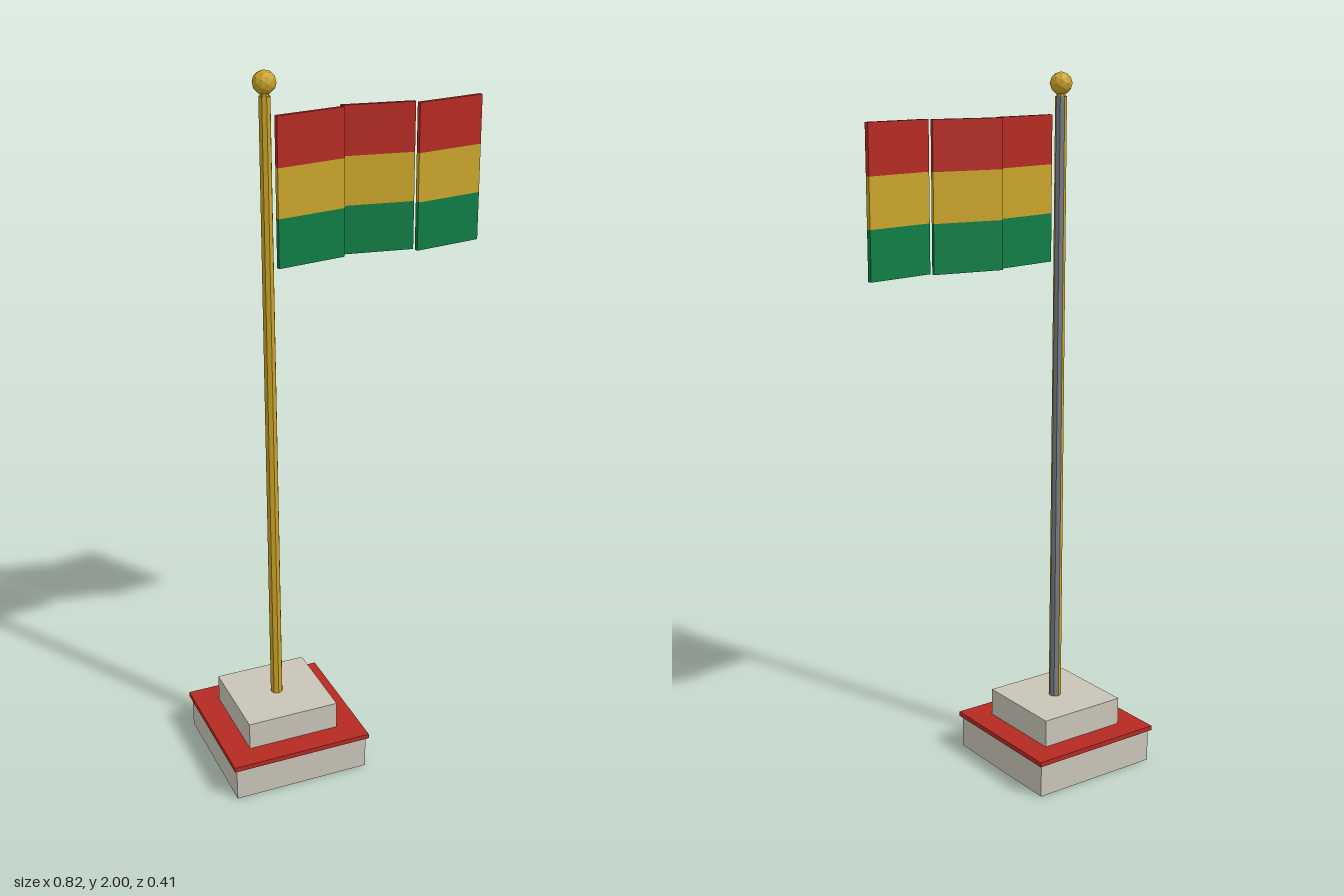
import * as THREE from 'three';

const material = (name, color) => {
  const m = new THREE.MeshStandardMaterial({ color, flatShading: true });
  m.name = name;
  return m;
};

export function createModel() {
  const stone = material('stone', 0xc9c4b7);
  const red = material('red', 0xb52a22);
  const yellow = material('yellow', 0xc9a42a);
  const green = material('green', 0x0f7d45);
  const gold = material('gold', 0xc9a227);
  const steel = material('steel', 0x7a7f87);

  const model = new THREE.Group();
  model.name = 'flagpole';
  const poleX = -0.207;

  const add = (parent, name, geometry, mat, x, y, z = 0) => {
    const mesh = new THREE.Mesh(geometry, mat);
    mesh.name = name;
    mesh.position.set(x, y, z);
    parent.add(mesh);
    return mesh;
  };
  const slab = (name, width, bottom, top, mat) =>
    add(model, name, new THREE.BoxGeometry(width, top - bottom, width), mat, poleX, (bottom + top) / 2);

  // Stepped base with a red trim plate
  slab('lowerPlinth', 0.396, 0, 0.097, stone);
  slab('trimPlate', 0.411, 0.097, 0.111, red);
  slab('upperPlinth', 0.269, 0.111, 0.192, stone);

  // Eight-sided pole: gold, with steel on the back right sides
  const sides = 8, poleBottom = 0.19, poleTop = 1.935;
  const poleGeometry = new THREE.CylinderGeometry(0.016, 0.018, poleTop - poleBottom, sides, 1);
  poleGeometry.clearGroups();
  for (let i = 0; i < sides; i++) {
    const angle = ((i + 0.5) / sides) * Math.PI * 2;
    const facesBackRight = Math.cos(angle - Math.PI * 0.75) > 0.6;
    poleGeometry.addGroup(i * 6, 6, facesBackRight ? 1 : 0);
  }
  poleGeometry.addGroup(sides * 6, sides * 6, 0);
  add(model, 'pole', poleGeometry, [gold, steel], poleX, (poleBottom + poleTop) / 2);

  // Finial on a short neck
  add(model, 'finialNeck', new THREE.CylinderGeometry(0.012, 0.012, 0.03, sides), gold, poleX, 1.94);
  add(model, 'finialBall', new THREE.IcosahedronGeometry(0.031, 1), gold, poleX, 1.969);

  // Flag: three angled panels, each with three stripes
  const flag = new THREE.Group();
  flag.name = 'flag';
  model.add(flag);
  const stripeHeight = 0.1325, flagBottom = 1.49;
  const stripes = [['greenStripe', green], ['yellowStripe', yellow], ['redStripe', red]];
  const panels = [[-0.085, -0.001, 0.155], [0.113, -0.021, -0.155], [0.312, -0.002, 0.155]];
  for (const [x, z, turn] of panels) {
    const panel = new THREE.Group();
    panel.name = 'flagPanel';
    panel.position.set(x, flagBottom, z);
    panel.rotation.y = turn;
    flag.add(panel);
    stripes.forEach(([name, mat], i) =>
      add(panel, name, new THREE.BoxGeometry(0.2, stripeHeight, 0.012), mat, 0, (i + 0.5) * stripeHeight));
  }
  return model;
}
